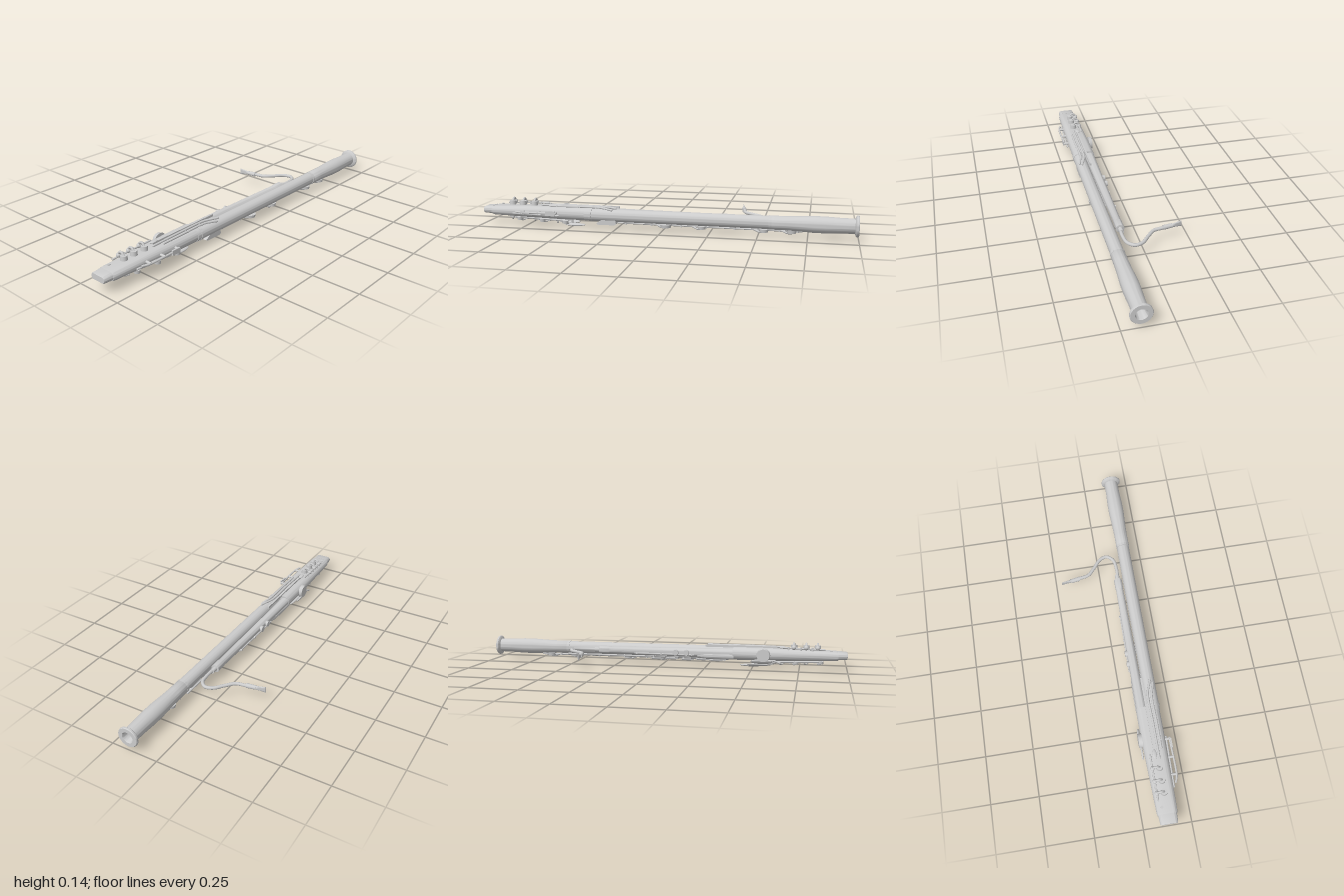
import * as THREE from 'three';
import { toCreasedNormals } from 'three/addons/utils/BufferGeometryUtils.js';

const mat = new THREE.MeshStandardMaterial({ color: 0xcccccc, side: THREE.DoubleSide });
const V = (x, y, z) => new THREE.Vector3(x, y, z);

export function createModel() {
  const model = new THREE.Group();
  const add = (name, geo, parent = model) => {
    const mesh = new THREE.Mesh(geo, mat);
    mesh.name = name;
    parent.add(mesh);
    return mesh;
  };
  const group = (name) => {
    const g = new THREE.Group();
    g.name = name;
    model.add(g);
    return g;
  };

  // Turned body along x from [x, radius] pairs
  const turned = (name, profile, y, z, parent) => {
    const geo = new THREE.LatheGeometry(profile.map(([x, r]) => new THREE.Vector2(r, x)), 40);
    geo.rotateZ(-Math.PI / 2);
    return add(name, toCreasedNormals(geo, 0.6), parent).position.set(0, y, z);
  };
  // Smooth tube with closed, rounded ends
  const rod = (name, pts, r, parent) => {
    const path = pts.map((p) => V(...p));
    const curve = path.length === 2 ? new THREE.LineCurve3(...path) : new THREE.CatmullRomCurve3(path);
    add(name, new THREE.TubeGeometry(curve, path.length === 2 ? 1 : 10 * path.length, r, 10), parent);
    for (const p of [path[0], path[path.length - 1]])
      add(name + 'End', new THREE.SphereGeometry(r, 10, 6), parent).position.copy(p);
  };
  // Short cylinder centred on p whose axis points along dir
  const disc = (name, p, r, h, dir, parent) => {
    const m = add(name, new THREE.CylinderGeometry(r * 0.9, r, h, 20), parent);
    m.position.set(...p);
    m.quaternion.setFromUnitVectors(V(0, 1, 0), V(...dir).normalize());
  };
  // Flattened rounded touch piece
  const paddle = (name, p, size, parent, tilt = 0) => {
    const m = add(name, new THREE.SphereGeometry(1, 20, 12), parent);
    m.position.set(...p);
    m.scale.set(...size);
    m.rotation.x = tilt;
  };
  // Skin through stadium-shaped sections [x, zMin, zMax, halfHeight]
  const stadiumLoft = (name, sections, y) => {
    const n = 48, pos = [], idx = [];
    for (const [x, z0, z1, h] of sections)
      for (let i = 0; i < n; i++) {
        const a = ((i + 0.5) / n) * Math.PI * 2, c = Math.cos(a);
        pos.push(x, y + h * Math.sin(a), (c > 0 ? z1 - h : z0 + h) + h * c);
      }
    const last = sections.length - 1;
    for (let s = 0; s < last; s++)
      for (let i = 0; i < n; i++) {
        const a = s * n + i, b = s * n + ((i + 1) % n);
        idx.push(a, a + n, b, b, a + n, b + n);
      }
    for (let i = 1; i < n - 1; i++)
      idx.push(0, i, i + 1, last * n, last * n + i + 1, last * n + i);
    const geo = new THREE.BufferGeometry();
    geo.setAttribute('position', new THREE.Float32BufferAttribute(pos, 3));
    geo.setIndex(idx);
    add(name, toCreasedNormals(geo, 0.6));
  };

  // Boot joint with stepped end cap
  stadiumLoft('bootCap', [[-1, 0.085, 0.172, 0.015], [-0.995, 0.083, 0.174, 0.018], [-0.95, 0.08, 0.176, 0.021]], 0.08);
  stadiumLoft('bootJoint', [[-0.952, 0.077, 0.178, 0.021], [-0.94, 0.075, 0.181, 0.024], [-0.75, 0.07, 0.185, 0.03],
    [-0.55, 0.064, 0.188, 0.034], [-0.395, 0.064, 0.188, 0.034]], 0.078);

  // Long joint, ferrules and bell
  turned('longJoint', [[-0.42, 0], [-0.42, 0.034], [0.56, 0.034], [0.56, 0]], 0.077, 0.156);
  for (const x of [-0.395, 0.555])
    turned('longJointFerrule', [[x, 0.034], [x, 0.0365], [x + 0.015, 0.0365], [x + 0.015, 0.034]], 0.077, 0.156);
  turned('bell', [[0.56, 0.034], [0.565, 0.036], [0.64, 0.036], [0.7, 0.038], [0.78, 0.0425], [0.84, 0.0425],
    [0.91, 0.039], [0.98, 0.038], [0.984, 0.05], [0.988, 0.054], [0.996, 0.054], [1, 0.051], [1, 0.03],
    [0.995, 0.027], [0.93, 0.022], [0.93, 0]], 0.077, 0.156);

  // Wing joint
  turned('wingJoint', [[-0.42, 0], [-0.42, 0.028], [-0.38, 0.027], [-0.1, 0.024], [0.3, 0.02], [0.305, 0.022],
    [0.36, 0.022], [0.362, 0.012], [0.39, 0.012], [0.39, 0]], 0.077, 0.094);
  stadiumLoft('fingerHoleWing', [[-0.4, 0.064, 0.115, 0.018], [-0.36, 0.064, 0.115, 0.02], [-0.24, 0.066, 0.112, 0.018],
    [-0.2, 0.072, 0.11, 0.012]], 0.064);

  // Crook and reed
  const crook = group('crook');
  rod('crookTube', [[0.36, 0.077, 0.096], [0.43, 0.077, 0.098], [0.485, 0.077, 0.088], [0.512, 0.077, 0.055],
    [0.5, 0.077, 0.015], [0.455, 0.077, -0.025], [0.415, 0.077, -0.065], [0.405, 0.077, -0.11], [0.4, 0.077, -0.14]], 0.009, crook);
  disc('reedWrap', [0.398, 0.077, -0.142], 0.0125, 0.05, [-0.16, 0, -1], crook);
  const blade = new THREE.CylinderGeometry(1, 1, 0.056, 24, 6);
  const bp = blade.attributes.position;
  for (let i = 0; i < bp.count; i++) {
    const t = bp.getY(i) / 0.056 + 0.5;
    bp.setXYZ(i, bp.getX(i) * (0.009 - 0.007 * t), bp.getZ(i) * (0.009 + 0.0085 * t), -bp.getY(i));
  }
  blade.computeVertexNormals();
  const reed = add('reed', toCreasedNormals(blade, 0.6), crook);
  reed.position.set(0.391, 0.077, -0.191);
  reed.rotation.y = 0.17;

  // Top keys of the boot: hinge rod, curved arms, cups
  const topKeys = group('bootTopKeys');
  rod('hingeRod', [[-0.88, 0.112, 0.092], [-0.65, 0.118, 0.092]], 0.005, topKeys);
  for (const x of [-0.845, -0.785, -0.72]) {
    rod('keyArm', [[x, 0.121, 0.09], [x, 0.137, 0.1], [x, 0.141, 0.115], [x, 0.126, 0.13]], 0.006, topKeys);
    add('hingeBall', new THREE.SphereGeometry(0.012, 16, 12), topKeys).position.set(x, 0.12, 0.092);
    disc('keyCup', [x, 0.12, 0.128], 0.018, 0.022, [0, 1, 0], topKeys);
    disc('keyPost', [x + 0.028, 0.112, 0.092], 0.006, 0.022, [0, 1, 0], topKeys);
  }
  paddle('thumbTouch', [-0.65, 0.12, 0.115], [0.025, 0.005, 0.012], topKeys);
  disc('endPost', [-0.915, 0.1, 0.105], 0.008, 0.016, [0, 1, 0], topKeys);

  // Long levers over the boot and long joint
  const levers = group('topLevers');
  rod('innerLever', [[-0.67, 0.113, 0.137], [-0.5, 0.117, 0.138], [-0.33, 0.117, 0.138], [-0.29, 0.117, 0.15], [-0.25, 0.116, 0.165]], 0.006, levers);
  rod('outerLever', [[-0.62, 0.113, 0.156], [-0.5, 0.115, 0.157], [-0.34, 0.115, 0.157], [-0.3, 0.112, 0.168], [-0.27, 0.108, 0.176]], 0.006, levers);
  for (const x of [-0.58, -0.46, -0.36])
    for (const z of [0.138, 0.157]) disc('leverPost', [x, 0.111, z], 0.007, 0.014, [0, 1, 0], levers);
  add('topRail', new THREE.BoxGeometry(0.42, 0.012, 0.01), levers).position.set(-0.45, 0.114, 0.118);

  // Front side rod and keys of the boot
  const side = group('bootSideKeys');
  rod('sideRod', [[-0.8, 0.083, 0.2], [-0.77, 0.083, 0.21], [-0.57, 0.083, 0.21]], 0.0055, side);
  rod('sideLowerRod', [[-0.82, 0.071, 0.188], [-0.56, 0.069, 0.195]], 0.005, side);
  for (const x of [-0.76, -0.67, -0.575]) disc('sidePost', [x, 0.083, 0.197], 0.007, 0.036, [0, 0, 1], side);
  add('sideTouch', new THREE.BoxGeometry(0.05, 0.025, 0.008), side).position.set(-0.6, 0.083, 0.214);
  disc('backKey', [-0.56, 0.077, 0.058], 0.038, 0.02, [0, 0, -1], side);

  // Underside keys of the boot
  const under = group('bootUnderKeys');
  for (const [i, z] of [0.095, 0.13, 0.158].entries())
    rod('underRod', [[-0.87 + i * 0.03, 0.047, z], [-0.52, 0.036, z]], 0.005, under);
  for (let i = 0; i < 6; i++) {
    const x = -0.86 + i * 0.065, y = 0.042 - i * 0.0025, z = i % 2 ? 0.155 : 0.105;
    disc('underCup', [x, y, z], 0.017, 0.016, [0, -1, 0], under);
    disc('underPost', [x + 0.03, y + 0.002, 0.13], 0.007, 0.022, [0, -1, 0], under);
    rod('underArm', [[x, y - 0.008, z], [x + 0.012, y - 0.013, 0.13], [x + 0.02, y - 0.003, z === 0.105 ? 0.15 : 0.1]], 0.0045, under);
  }
  for (const [x, y, z, tilt] of [[-0.49, 0.012, 0.13, 0.1], [-0.53, 0.021, 0.095, 0.35], [-0.55, 0.043, 0.06, 0.9]]) {
    paddle('spatula', [x, y, z], [0.06, 0.0075, 0.016], under, tilt);
    rod('spatulaArm', [[x - 0.1, 0.038, z], [x - 0.06, y + 0.008, z], [x - 0.02, y, z]], 0.005, under);
  }

  // Hand rest block and key work under the two long tubes
  const body = group('longJointKeys');
  const block = new THREE.Shape([[-0.355, 0.034], [-0.345, 0.028], [-0.255, 0.028], [-0.245, 0.034], [-0.25, 0.065], [-0.31, 0.065]]
    .map(([x, y]) => new THREE.Vector2(x, y)));
  add('handRest', new THREE.ExtrudeGeometry(block, { depth: 0.036, bevelEnabled: false }), body).position.z = 0.145;
  rod('longRod', [[-0.24, 0.037, 0.147], [0.72, 0.035, 0.147]], 0.005, body);
  rod('secondRod', [[-0.36, 0.042, 0.129], [0.56, 0.042, 0.129]], 0.005, body);
  rod('thirdRod', [[-0.38, 0.048, 0.112], [0.1, 0.05, 0.112]], 0.005, body);
  for (const x of [-0.2, -0.06, 0.1, 0.23, 0.38, 0.5, 0.61, 0.7])
    disc('rodPost', [x, 0.038, 0.147], 0.007, 0.018, [0, -1, 0], body);
  for (const [x, z, r] of [[0.02, 0.156, 0.03], [0.21, 0.156, 0.022], [0.53, 0.156, 0.024], [0.67, 0.153, 0.025]]) {
    disc('padCup', [x, 0.034, z], r, 0.016, [0, -1, 0], body);
    rod('padArm', [[x - 0.05, 0.035, 0.147], [x - 0.02, 0.025, z], [x, 0.025, z]], 0.005, body);
  }
  for (const [x, z] of [[-0.3, 0.1], [-0.22, 0.118], [-0.14, 0.1], [-0.05, 0.115], [0.03, 0.1]]) {
    paddle('thumbKey', [x, 0.036, z], [0.038, 0.005, 0.011], body, 0.25);
    disc('thumbPost', [x + 0.02, 0.046, z], 0.006, 0.024, [0, -1, 0], body);
  }

  // Keys on the back of the wing joint
  const wing = group('wingJointKeys');
  rod('wingRod', [[-0.18, 0.066, 0.068], [0.15, 0.066, 0.073]], 0.0045, wing);
  for (const x of [-0.14, -0.08]) disc('wingCup', [x, 0.077, 0.067], 0.017, 0.014, [0, 0, -1], wing);
  for (const x of [-0.17, 0, 0.14]) disc('wingPost', [x, 0.067, 0.074], 0.006, 0.02, [0, 0, -1], wing);
  return model;
}
